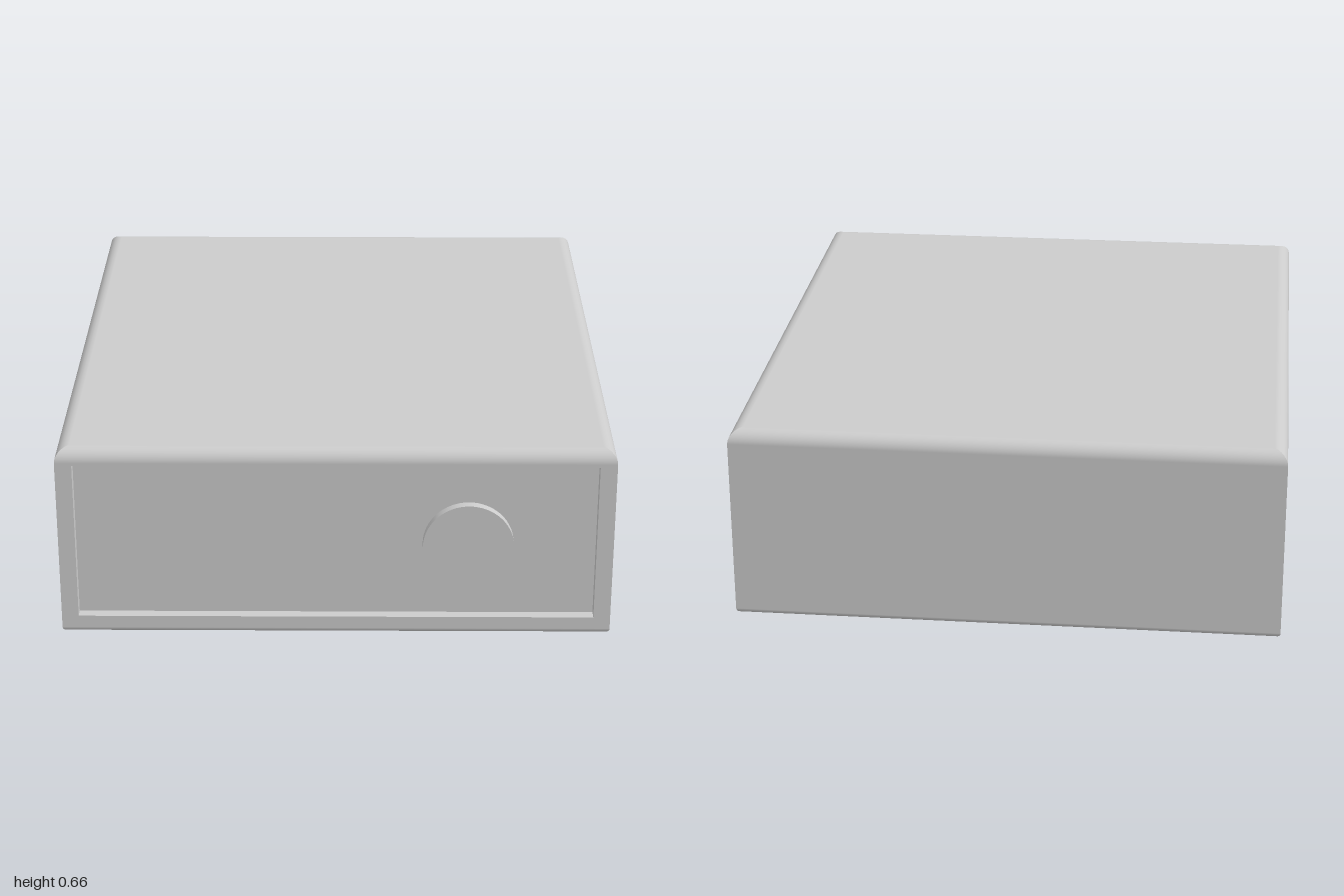
import * as THREE from 'three';

const W = 0.9, D = 1, H = 0.66;        // half width, half depth, height
const R_TOP = 0.045, R_BOTTOM = 0.018; // edge rounding
const PANEL = { x: 0.845, y0: 0.06, y1: 0.605, depth: 0.035 };
const STEPS = 6;

const material = new THREE.MeshStandardMaterial({ color: 0xcccccc });

function addMesh(parent, name, geometry, x = 0, y = 0, z = 0) {
  const mesh = new THREE.Mesh(geometry, material);
  mesh.name = name;
  mesh.position.set(x, y, z);
  parent.add(mesh);
  return mesh;
}

// Wall profile from bottom to top: inset, height and angle of the normal
function wallProfile() {
  const points = [];
  for (let i = 0; i <= STEPS; i++) {
    const a = (i / STEPS - 1) * Math.PI / 2;
    points.push([R_BOTTOM * (1 - Math.cos(a)), R_BOTTOM * (1 + Math.sin(a)), a]);
  }
  for (let i = 0; i <= STEPS; i++) {
    const a = (i / STEPS) * Math.PI / 2;
    points.push([R_TOP * (1 - Math.cos(a)), H - R_TOP * (1 - Math.sin(a)), a]);
  }
  return points;
}

// One mitred wall facing +z, optionally without its flat middle
function wallGeometry(halfWidth, distance, open) {
  const positions = [], normals = [], indices = [];
  wallProfile().forEach(([inset, y, a], i) => {
    for (const side of [-1, 1]) {
      positions.push(side * (halfWidth - inset), y, distance - inset);
      normals.push(0, Math.sin(a), Math.cos(a));
    }
    if (i === 0 || (open && i === STEPS + 1)) return;
    const k = i * 2;
    indices.push(k - 2, k - 1, k + 1, k - 2, k + 1, k);
  });
  const geometry = new THREE.BufferGeometry();
  geometry.setAttribute('position', new THREE.Float32BufferAttribute(positions, 3));
  geometry.setAttribute('normal', new THREE.Float32BufferAttribute(normals, 3));
  geometry.setIndex(indices);
  return geometry;
}

function rectangle(PathType, x, y0, y1) {
  return new PathType([[-x, y0], [x, y0], [x, y1], [-x, y1]].map(p => new THREE.Vector2(...p)));
}

export function createModel() {
  const model = new THREE.Group();
  model.name = 'frontPanelBox';

  // Four walls with rounded top and bottom edges
  const casing = new THREE.Group();
  casing.name = 'casing';
  model.add(casing);
  ['frontEdges', 'leftWall', 'backWall', 'rightWall'].forEach((name, i) => {
    const sideways = i % 2 === 1;
    const geometry = wallGeometry(sideways ? D : W, sideways ? W : D, i === 0);
    addMesh(casing, name, geometry).rotation.y = i * Math.PI / 2;
  });

  // Flat top and bottom
  const flat = inset => new THREE.PlaneGeometry(2 * (W - inset), 2 * (D - inset));
  addMesh(casing, 'top', flat(R_TOP), 0, H).rotation.x = -Math.PI / 2;
  addMesh(casing, 'bottom', flat(R_BOTTOM)).rotation.x = Math.PI / 2;

  // Front frame around the recess; its thickness forms the recess walls
  const frame = rectangle(THREE.Shape, W, R_BOTTOM, H - R_TOP);
  frame.holes.push(rectangle(THREE.Path, PANEL.x, PANEL.y0, PANEL.y1));
  addMesh(model, 'frontFrame',
    new THREE.ExtrudeGeometry(frame, { depth: PANEL.depth, bevelEnabled: false }),
    0, 0, D - PANEL.depth);

  // Recessed panel
  addMesh(model, 'frontPanel', new THREE.PlaneGeometry(2 * PANEL.x, PANEL.y1 - PANEL.y0),
    0, (PANEL.y0 + PANEL.y1) / 2, D - PANEL.depth);

  // Round dial standing on the panel
  const dial = new THREE.CylinderGeometry(0.148, 0.148, 0.03, 64);
  dial.rotateX(Math.PI / 2);
  addMesh(model, 'dial', dial, 0.43, 0.315, D - PANEL.depth + 0.015);

  return model;
}
